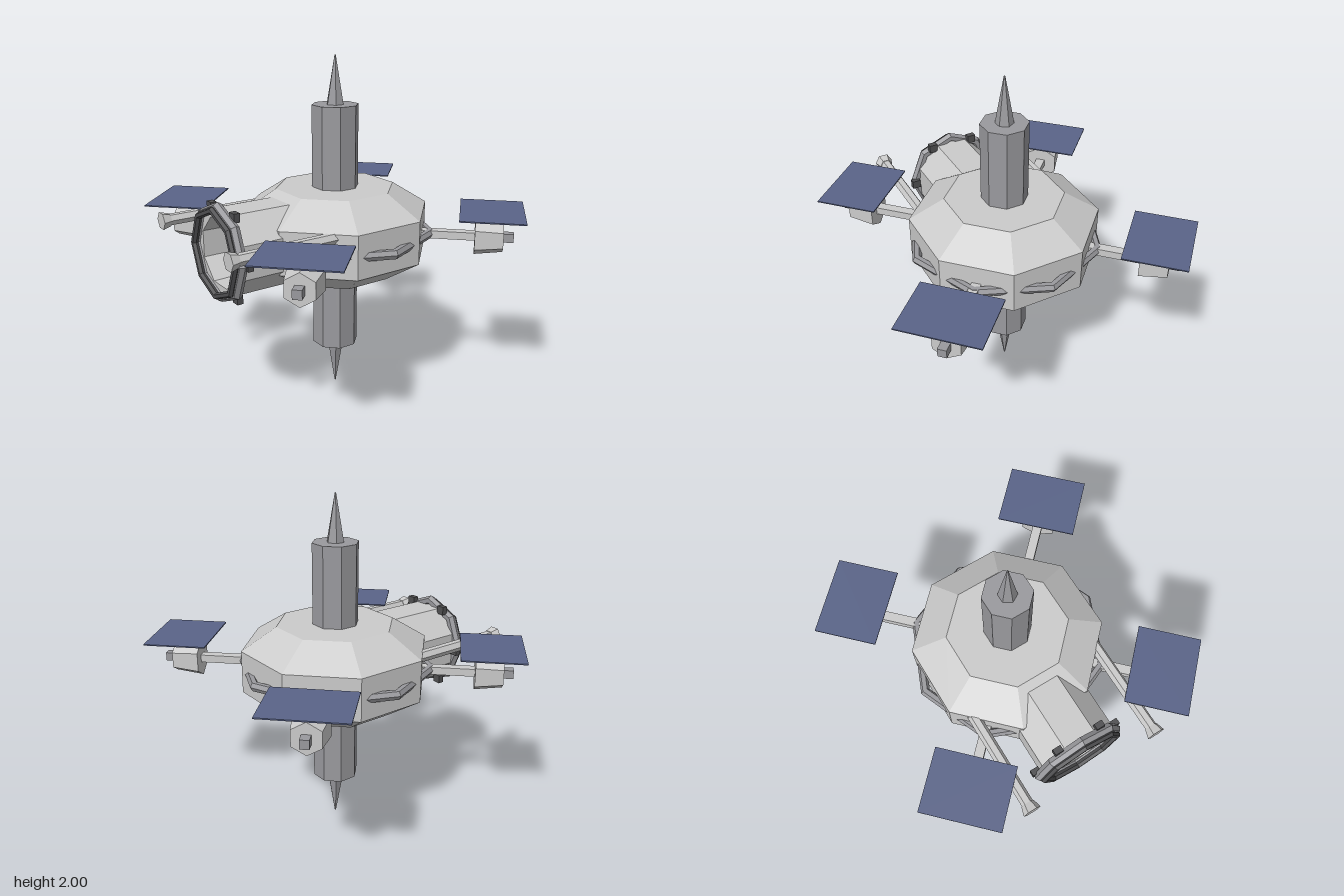
import * as THREE from 'three';

const mat = (color) => new THREE.MeshStandardMaterial({ color, flatShading: true });

export function createModel() {
  const model = new THREE.Group();
  const grey = mat(0xcccccc), mid = mat(0x9a9a9e), dark = mat(0x505052);
  const blue = mat(0x5a6488);

  const add = (name, geo, material, x = 0, y = 0, z = 0, parent = model) => {
    const mesh = new THREE.Mesh(geo, material);
    mesh.name = name;
    mesh.position.set(x, y, z);
    parent.add(mesh);
    return mesh;
  };
  const lathe8 = (pts) =>
    new THREE.LatheGeometry(pts.map(([r, h]) => new THREE.Vector2(r, h)), 8, Math.PI / 8);
  const box = (w, h, d) => new THREE.BoxGeometry(w, h, d);
  // Six-sided rod along z, r1 at the far +z end
  const rodZ = (r1, r0, len, spin = 0) =>
    new THREE.CylinderGeometry(r1, r0, len, 6).rotateY(spin).rotateX(Math.PI / 2);

  // Octagonal hub with bevelled top and bottom
  add('hub', lathe8([[0, 0.75], [0.346, 0.75], [0.552, 0.88], [0.552, 1.13],
    [0.346, 1.26], [0, 1.26]]), grey);
  add('hubRing', new THREE.TorusGeometry(0.555, 0.028, 6, 8).rotateX(Math.PI / 2), mid, 0, 1, 0);

  // Central column with a spike at each end
  add('column', lathe8([[0, 0.28], [0.135, 0.28], [0.135, 1.73], [0, 1.73]]), mid);
  add('topSpike', new THREE.CylinderGeometry(0.004, 0.052, 0.27, 6), mid, 0, 1.865, 0);
  add('bottomSpike', new THREE.CylinderGeometry(0.052, 0.004, 0.28, 6), mid, 0, 0.14, 0);

  // Hollow docking bay at the front
  const bay = new THREE.Group();
  bay.name = 'dockingBay';
  bay.position.y = 1;
  model.add(bay);
  add('bayTunnel', lathe8([[0.245, 0.25], [0.245, 0.76], [0.2, 0.76], [0.195, 0.53], [0, 0.53]])
    .rotateX(Math.PI / 2), grey, 0, 0, 0, bay);
  add('bayDoor', box(0.165, 0.1, 0.02), dark, 0, 0.01, 0.535, bay);
  add('bayRing', new THREE.TorusGeometry(0.255, 0.029, 6, 8), mid, 0, 0, 0.755, bay);
  add('baySeal', new THREE.TorusGeometry(0.243, 0.02, 6, 8), dark, 0, 0, 0.787, bay);
  for (let i = 0; i < 6; i++) {
    const a = (i * Math.PI) / 3;
    add('bayClamp', box(0.05, 0.05, 0.035), dark,
      0.263 * Math.cos(a), 0.263 * Math.sin(a), 0.725, bay);
  }

  // Two forward booms with flared tips
  for (const s of [-1, 1]) {
    add('boom', rodZ(0.034, 0.034, 0.6, Math.PI / 6), grey, s * 0.403, 1.103, 0.57);
    add('boomTip', rodZ(0.053, 0.038, 0.05, Math.PI / 6), grey, s * 0.403, 1.103, 0.885);
  }

  // Four diagonal arms, each with a pod and a solar panel; local +z points outward
  for (let i = 0; i < 4; i++) {
    const arm = new THREE.Group();
    arm.name = 'podArm';
    arm.position.y = 1;
    arm.rotation.y = Math.PI / 4 + (i * Math.PI) / 2;
    model.add(arm);
    add('strut', box(0.055, 0.045, 0.38), grey, 0, 0, 0.64, arm);
    add('pod', rodZ(0.09, 0.112, 0.16), grey, 0, 0, 0.89, arm);
    add('podNozzle', box(0.05, 0.05, 0.06), mid, 0, 0, 0.998, arm);
    add('panelPost', box(0.018, 0.07, 0.018), mid, 0, 0.113, 0.9, arm);
    add('solarPanel', box(0.46, 0.007, 0.36), blue, 0, 0.147, 0.9, arm);
  }
  return model;
}
